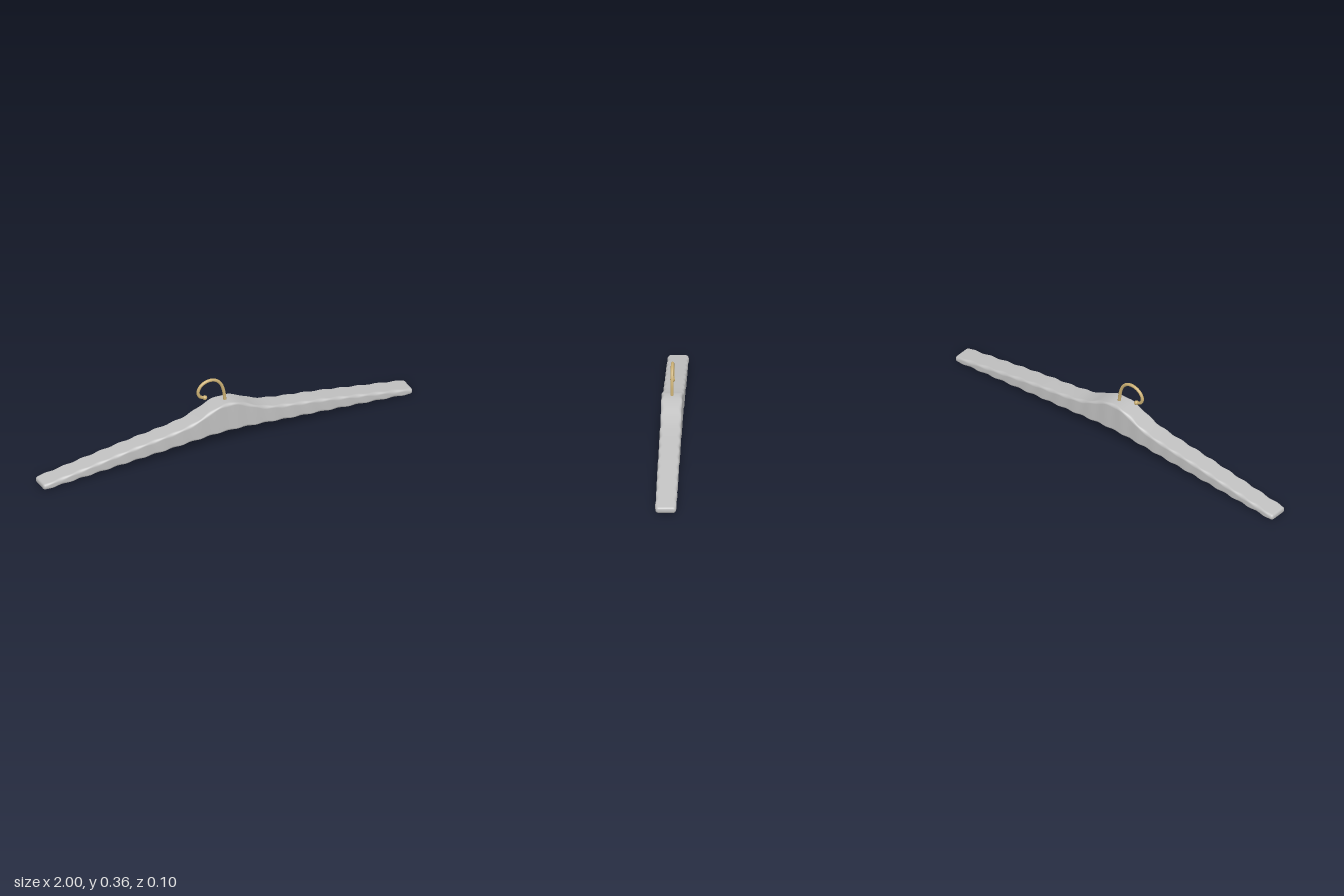
import * as THREE from 'three';

const padding = new THREE.MeshStandardMaterial({ color: 0xc0c0c0 });
padding.name = 'grey padding';
const brass = new THREE.MeshStandardMaterial({ color: 0xc9ae72 });
brass.name = 'brass';

const HALF_DEPTH = 0.052, END_X = 0.988, END_R = 0.012, ARC = 5;

// Half outline of the body: x, upper edge, lower edge
const HALF = [
  [0, 0.221, 0.064], [0.04, 0.217, 0.064], [0.09, 0.2, 0.062], [0.15, 0.171, 0.058],
  [0.21, 0.15, 0.054], [0.3, 0.133, 0.047], [0.5, 0.107, 0.034], [0.75, 0.069, 0.017],
  [END_X, 0.032, 0],
];

// Rounded rectangle across the body; the soft corners pucker along its length
function section(x, top, bottom, inset) {
  const wave = 0.5 + 0.5 * Math.cos(x * Math.PI * 2 / 0.1);
  const hz = HALF_DEPTH - 0.002 * wave - inset;
  const hy = (top - bottom) / 2 - inset;
  const mid = (top + bottom) / 2;
  const r = Math.min(0.01 + 0.007 * wave, hy * 0.9);
  const ring = [];
  [[1, 1], [-1, 1], [-1, -1], [1, -1]].forEach(([sz, sy], q) => {
    for (let k = 0; k <= ARC; k++) {
      const a = (q + k / ARC) * Math.PI / 2;
      ring.push([x, mid + sy * (hy - r) + r * Math.sin(a), sz * (hz - r) + r * Math.cos(a)]);
    }
  });
  return ring;
}

function bodyGeometry() {
  const left = HALF.slice(1).reverse().map(([x, t, b]) => [-x, t, b]);
  const outline = new THREE.CatmullRomCurve3(
    [...left, ...HALF].map(p => new THREE.Vector3(...p)));
  const stations = outline.getSpacedPoints(240).map(p => [p.x, p.y, p.z, 0]);

  // Rounded ends
  const [, t, b] = HALF[HALF.length - 1];
  for (let k = 1; k <= 5; k++) {
    const a = k / 5 * Math.PI / 2;
    const x = END_X + END_R * Math.sin(a), inset = END_R * (1 - Math.cos(a));
    stations.push([x, t, b, inset]);
    stations.unshift([-x, t, b, inset]);
  }

  const rings = stations.map(s => section(...s));
  const n = rings[0].length, last = rings.length - 1;
  const points = rings.flat();
  const index = [];
  for (let i = 0; i < last; i++) {
    for (let j = 0; j < n; j++) {
      const a = i * n + j, c = i * n + (j + 1) % n;
      index.push(a, a + n, c, c, a + n, c + n);
    }
  }
  // End caps
  const c0 = points.push([-1, (t + b) / 2, 0]) - 1;
  const c1 = points.push([1, (t + b) / 2, 0]) - 1;
  for (let j = 0; j < n; j++) {
    const k = (j + 1) % n;
    index.push(c0, j, k, c1, last * n + k, last * n + j);
  }

  const g = new THREE.BufferGeometry();
  g.setAttribute('position', new THREE.Float32BufferAttribute(points.flat(), 3));
  g.setIndex(index);
  g.computeVertexNormals();
  return g;
}

export function createModel() {
  const model = new THREE.Group();
  model.name = 'clothesHanger';
  const add = (name, geometry, material) => {
    const mesh = new THREE.Mesh(geometry, material);
    mesh.name = name;
    model.add(mesh);
    return mesh;
  };

  add('paddedBody', bodyGeometry(), padding);

  // Bent wire hook ending in a small ball
  const path = new THREE.CatmullRomCurve3([
    [0.006, 0.2], [0.003, 0.235], [-0.003, 0.275], [-0.018, 0.315], [-0.043, 0.341],
    [-0.075, 0.35], [-0.108, 0.343], [-0.132, 0.323], [-0.141, 0.297],
    [-0.131, 0.272], [-0.105, 0.259],
  ].map(([x, y]) => new THREE.Vector3(x, y, 0)));
  add('hook', new THREE.TubeGeometry(path, 80, 0.008, 14), brass);
  add('hookBall', new THREE.SphereGeometry(0.012, 20, 14), brass).position.set(-0.104, 0.259, 0);

  return model;
}
